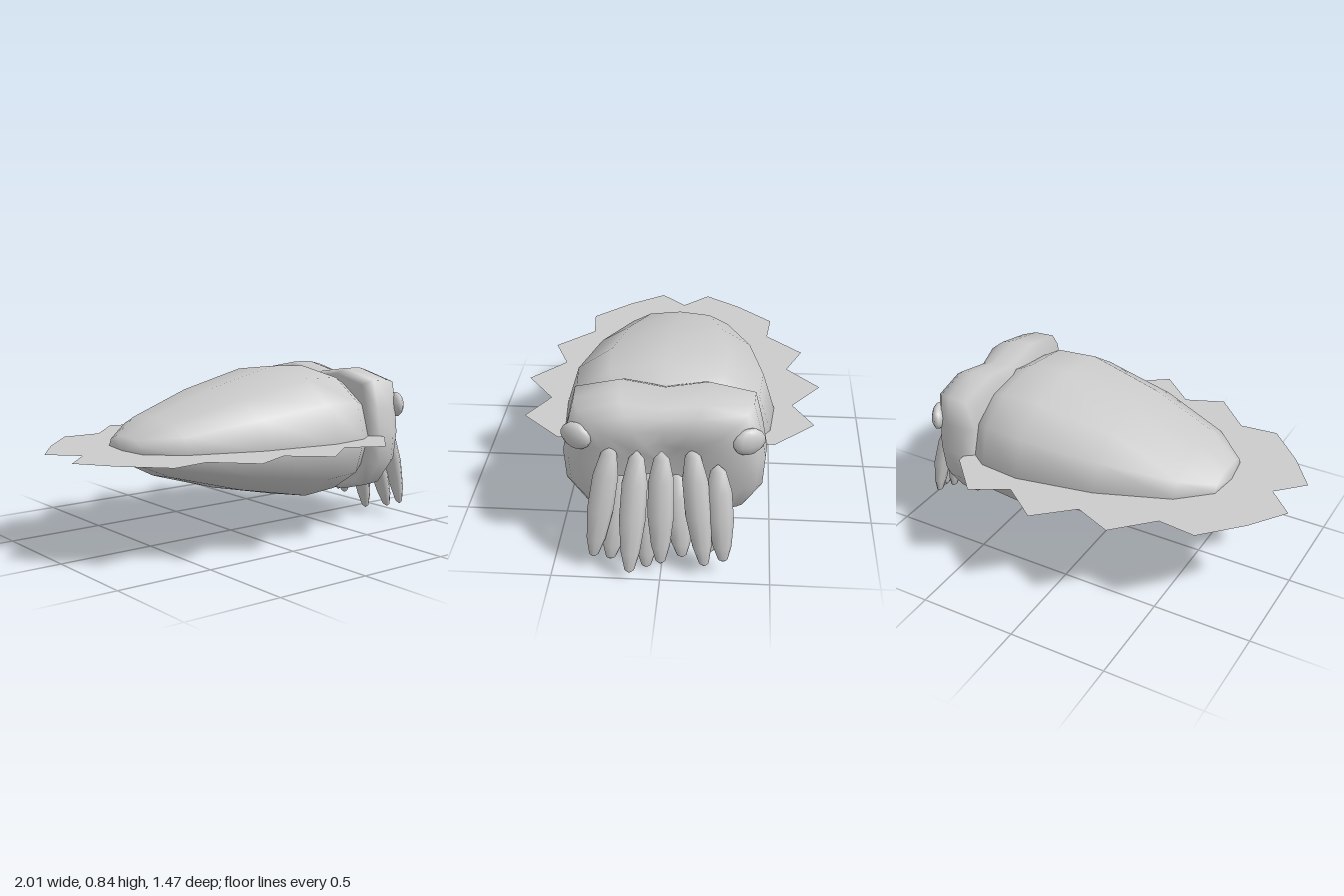
import * as THREE from 'three';

const material = new THREE.MeshStandardMaterial({ color: 0xcccccc });
const sheetMaterial = new THREE.MeshStandardMaterial({ color: 0xcccccc, side: THREE.DoubleSide });

// Skin a list of rings (arrays of [x, y, z]) and close both ends with a fan.
function loft(rings, startTip, endTip) {
  const n = rings[0].length;
  const points = [...rings.flat(), startTip, endTip];
  const start = points.length - 2, end = points.length - 1;
  const last = (rings.length - 1) * n;
  const index = [];
  for (let j = 0; j < n; j++) {
    const k = (j + 1) % n;
    for (let i = 0; i < last; i += n) {
      index.push(i + j, i + n + j, i + k, i + k, i + n + j, i + n + k);
    }
    index.push(start, j, k, end, last + k, last + j);
  }
  const geometry = new THREE.BufferGeometry();
  geometry.setAttribute('position', new THREE.Float32BufferAttribute(points.flat(), 3));
  geometry.setIndex(index);
  geometry.computeVertexNormals();
  return geometry;
}

function circle(sides, place) {
  return Array.from({ length: sides }, (_, i) => {
    const a = (i / sides) * Math.PI * 2;
    return place(Math.cos(a), Math.sin(a));
  });
}

// Mantle: slightly squared elliptical sections [x, half width, half height]
function mantleGeometry() {
  const sections = [
    [-0.635, 0.15, 0.065], [-0.48, 0.29, 0.145], [-0.12, 0.43, 0.255],
    [0.27, 0.505, 0.342], [0.48, 0.485, 0.33], [0.56, 0.43, 0.285], [0.62, 0.38, 0.26],
  ];
  const full = (v) => Math.sign(v) * Math.abs(v) ** 0.86;
  const rings = sections.map(([x, w, h]) =>
    circle(12, (c, s) => [x, 0.5 + h * full(s), w * full(c)]));
  return loft(rings, [-0.655, 0.5, 0], [0.62, 0.5, 0]);
}

// Head: one lobed outline, scaled along x, with a leaning front
function headGeometry() {
  const half = [
    [0, 0.79], [0.2, 0.825], [0.41, 0.78], [0.445, 0.64], [0.47, 0.5],
    [0.46, 0.35], [0.37, 0.225], [0.2, 0.175], [0, 0.165],
  ];
  const outline = [
    ...half.map(([z, y]) => [-z, y]),
    ...half.slice(1, -1).reverse(),
  ];
  const sections = [ // x, scale, lean
    [0.56, 0.92, 0], [0.61, 1, 0], [0.71, 0.985, 0.02],
    [0.765, 0.92, 0.07], [0.8, 0.8, 0.14], [0.82, 0.6, 0.19], [0.82, 0.35, 0.19],
  ];
  const rings = sections.map(([x, scale, lean]) => outline.map(([z, y]) => {
    const dy = (y - 0.5) * scale;
    const dip = z === 0 ? lean * 0.22 : 0;
    return [x + lean * dy - dip, 0.5 + dy, z * scale];
  }));
  return loft(rings, [0.56, 0.5, 0], [0.79, 0.5, 0]);
}

// Fin: thin flat zigzag skirt around the mantle
function finGeometry() {
  const edge = [
    [-1, 0.13], [-0.87, 0.31], [-0.69, 0.495], [-0.5, 0.475], [-0.32, 0.655],
    [-0.13, 0.575], [0.05, 0.735], [0.24, 0.595], [0.42, 0.695], [0.605, 0.505], [0.605, 0.4],
  ];
  const mirrored = edge.map(([x, z]) => [x, -z]).reverse();
  const shape = new THREE.Shape(
    [[-0.87, 0], ...edge, ...mirrored].map(([x, z]) => new THREE.Vector2(x, z)));
  return new THREE.ShapeGeometry(shape).rotateX(Math.PI / 2).translate(0, 0.5, 0);
}

// Arm: tapering tube hanging from the face, root and tip given as [x, y, z]
function armGeometry(root, tip) {
  const a = new THREE.Vector3(...root), b = new THREE.Vector3(...tip);
  const middle = a.clone().lerp(b, 0.5).add(new THREE.Vector3(0.03, 0, 0));
  const curve = new THREE.QuadraticBezierCurve3(a, middle, b);
  const radii = [[0.06, 0.035], [0.25, 0.058], [0.55, 0.06], [0.82, 0.043], [0.97, 0.022]];
  const rings = radii.map(([t, r]) => {
    const p = curve.getPoint(t);
    return circle(8, (c, s) => [p.x + s * r * 0.62, p.y, p.z + c * r]);
  });
  return loft(rings, root, tip);
}

export function createModel() {
  const model = new THREE.Group();
  const add = (name, geometry, mat = material, parent = model) => {
    const mesh = new THREE.Mesh(geometry, mat);
    mesh.name = name;
    parent.add(mesh);
    return mesh;
  };

  add('mantle', mantleGeometry());
  add('head', headGeometry());
  add('fin', finGeometry(), sheetMaterial);

  // Eyes, turned outward
  for (const side of [1, -1]) {
    const eye = add(side > 0 ? 'leftEye' : 'rightEye', new THREE.SphereGeometry(1, 10, 7));
    eye.scale.set(0.035, 0.065, 0.08);
    eye.rotation.y = side * -0.45;
    eye.position.set(0.802, 0.637, side * 0.385);
  }

  // Arms: a front row of five and a back row of four
  const arms = new THREE.Group();
  arms.name = 'arms';
  model.add(arms);
  const frontRow = [
    [0.61, 0.23, 0.93, 0.065, 0.31], [0.59, 0.11, 0.995, 0.03, 0.14], [0.59, 0, 0.95, 0.055, 0],
    [0.61, -0.135, 0.95, 0.05, -0.2], [0.53, -0.25, 0.93, 0.065, -0.285],
  ];
  const backRow = [
    [0.45, 0.18, 0.91, 0.04, 0.235], [0.45, 0.06, 0.91, 0, 0.07],
    [0.45, -0.065, 0.9, 0.06, -0.095], [0.43, -0.19, 0.88, 0.08, -0.22],
  ];
  for (const [y, z, tx, ty, tz] of frontRow) {
    add('frontArm', armGeometry([0.83, y, z], [tx, ty, tz]), material, arms);
  }
  for (const [y, z, tx, ty, tz] of backRow) {
    add('backArm', armGeometry([0.79, y, z], [tx, ty, tz]), material, arms);
  }
  return model;
}
